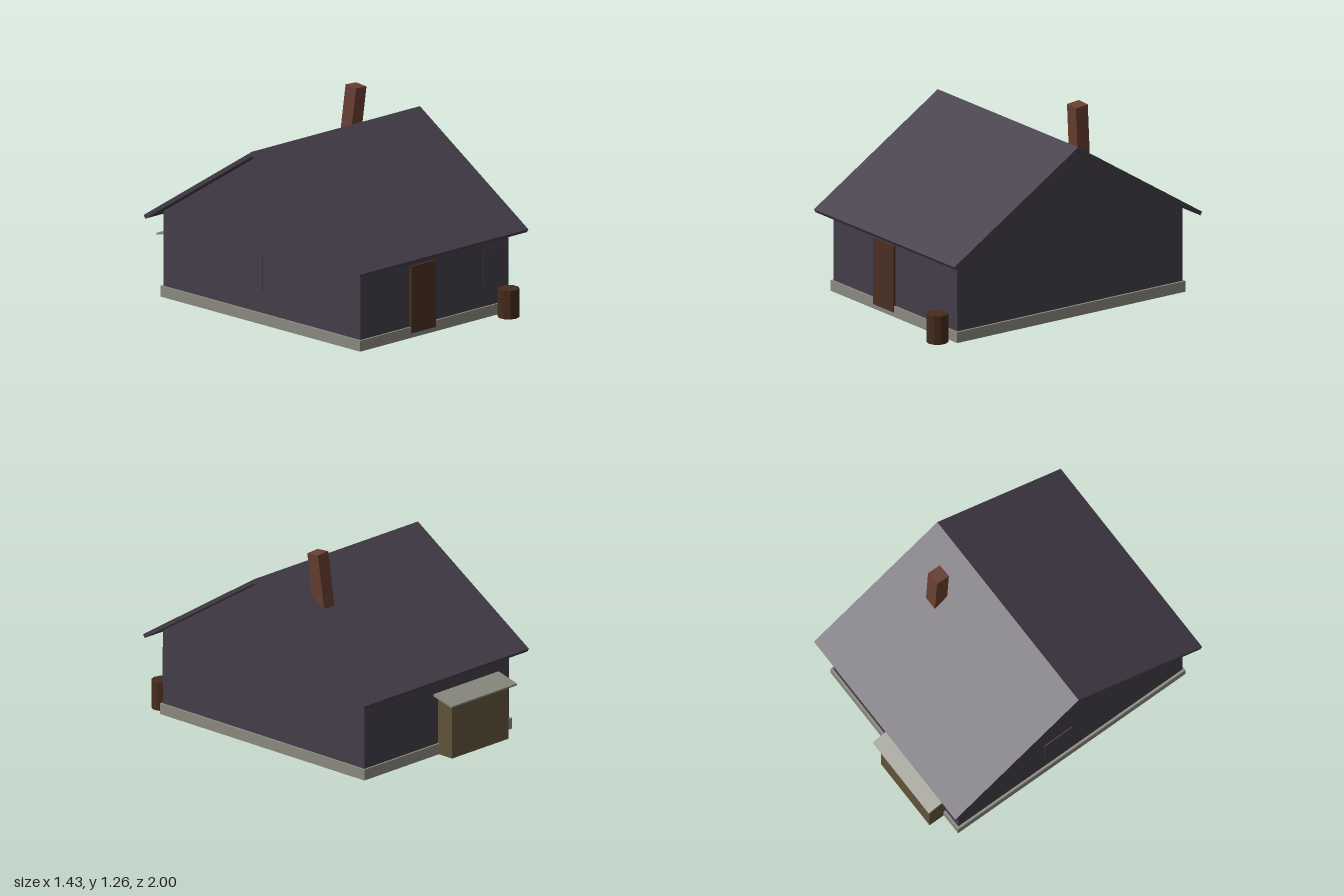
import * as THREE from 'three';

const mat = (name, color) => {
  const m = new THREE.MeshStandardMaterial({ color });
  m.name = name;
  return m;
};

export function createModel() {
  const house = new THREE.Group();
  house.name = 'cottage';

  const slate = mat('dark slate', 0x443d49);
  const stone = mat('grey stone', 0x8b8a80);
  const doorWood = mat('door wood', 0x4a3023);
  const barrelWood = mat('barrel wood', 0x452b1d);
  const brick = mat('brick', 0x683f31);
  const shedWood = mat('shed wood', 0x62533a);

  const add = (name, geometry, material, x = 0, y = 0, z = 0) => {
    const mesh = new THREE.Mesh(geometry, material);
    mesh.name = name;
    mesh.position.set(x, y, z);
    house.add(mesh);
    return mesh;
  };
  // Box given by its lower and upper limits
  const box = (name, material, [x0, x1], [y0, y1], [z0, z1]) =>
    add(name, new THREE.BoxGeometry(x1 - x0, y1 - y0, z1 - z0), material,
      (x0 + x1) / 2, (y0 + y1) / 2, (z0 + z1) / 2);

  // Walls: gable outline extruded along x
  const gable = new THREE.Shape([
    [-0.845, 0], [0.845, 0], [0.845, 0.545], [0, 1.075], [-0.845, 0.545],
  ].map(([a, b]) => new THREE.Vector2(a, b)));
  const wallGeo = new THREE.ExtrudeGeometry(gable, { depth: 1.26, bevelEnabled: false });
  wallGeo.translate(0, 0, -0.63).rotateY(Math.PI / 2);
  add('walls', wallGeo, slate);

  box('foundation', stone, [-0.645, 0.645], [0.002, 0.07], [-0.858, 0.858]);

  // Two roof slabs meeting at the ridge
  const pitch = Math.atan2(0.585, 0.93);
  for (const side of [1, -1]) {
    const slab = add(side > 0 ? 'frontRoof' : 'backRoof',
      new THREE.BoxGeometry(1.43, 0.025, 1.1), slate, 0, 0.797, side * 0.459);
    slab.rotation.x = side * pitch;
  }

  // Door and shutters
  box('door', doorWood, [-0.21, 0], [0.03, 0.45], [0.84, 0.86]);
  box('frontShutter', slate, [0.42, 0.629], [0.2, 0.43], [0.841, 0.849]);
  box('sideShutter', slate, [-0.636, -0.628], [0.2, 0.43], [-0.2, 0.01]);

  // Leaning chimney
  const chimney = add('chimney', new THREE.BoxGeometry(0.09, 0.5, 0.09), brick, 0.382, 1.0, -0.251);
  chimney.rotation.set(0.09, 0, -0.06);

  // Lean-to shed at the back
  box('shed', shedWood, [-0.5, -0.01], [0, 0.36], [-0.965, -0.84]);
  const shedRoof = add('shedRoof', new THREE.BoxGeometry(0.57, 0.012, 0.18), stone, -0.255, 0.37, -0.912);
  shedRoof.rotation.x = -0.26;

  // Barrel by the front corner
  const barrelGeo = new THREE.CylinderGeometry(0.067, 0.067, 0.18, 10).toNonIndexed();
  barrelGeo.computeVertexNormals();
  add('barrel', barrelGeo, barrelWood, 0.545, 0.09, 0.933);

  return house;
}
